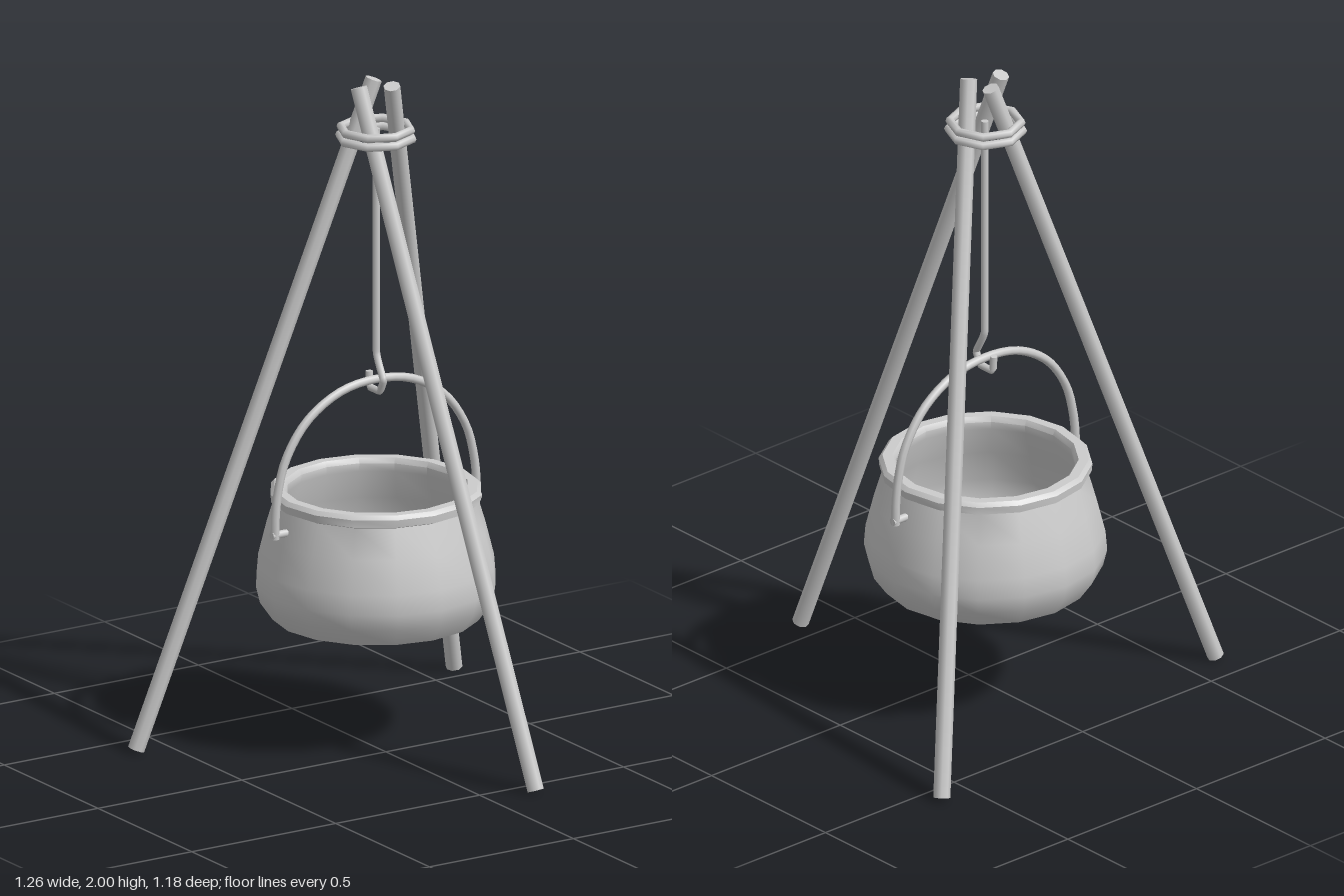
import * as THREE from 'three';
import { toCreasedNormals } from 'three/addons/utils/BufferGeometryUtils.js';

const CX = 0.05, CZ = -0.13; // axis of the hanging pot
const V = (x, y, z) => new THREE.Vector3(x, y, z);

export function createModel() {
  const group = new THREE.Group();
  const mat = new THREE.MeshStandardMaterial({ color: 0xcccccc });

  const add = (name, geometry, parent = group) => {
    const mesh = new THREE.Mesh(geometry, mat);
    mesh.name = name;
    parent.add(mesh);
    return mesh;
  };

  // Straight round bar between two points
  const bar = (name, a, b, radius, sides = 8, parent = group) => {
    const mesh = add(name, new THREE.CylinderGeometry(radius, radius, a.distanceTo(b), sides), parent);
    mesh.position.copy(a).add(b).multiplyScalar(0.5);
    mesh.quaternion.setFromUnitVectors(V(0, 1, 0), b.clone().sub(a).normalize());
    return mesh;
  };

  // Bent round rod with flat end caps
  const rod = (name, points, radius, segments, type, tension) => {
    const part = new THREE.Group();
    part.name = name;
    group.add(part);
    const curve = new THREE.CatmullRomCurve3(points, false, type, tension);
    add(name + 'Rod', new THREE.TubeGeometry(curve, segments, radius, 8), part);
    for (const [t, sign] of [[0, -1], [1, 1]]) {
      const cap = add(name + 'End', new THREE.CircleGeometry(radius, 8), part);
      cap.position.copy(curve.getPoint(t));
      cap.quaternion.setFromUnitVectors(V(0, 0, 1), curve.getTangent(t).multiplyScalar(sign));
    }
  };

  // Tripod poles, crossing at the top
  bar('leftPole', V(0.605, 0.007, -0.565), V(0.08, 1.993, -0.09), 0.025);
  bar('rightPole', V(-0.61, 0.007, -0.395), V(0.075, 1.993, -0.18), 0.025);
  bar('frontPole', V(0.148, 0.007, 0.572), V(-0.008, 1.993, -0.132), 0.025);

  // Two eight-sided lashing rings
  for (const [y, r] of [[1.833, 0.108], [1.859, 0.104]]) {
    const ring = add('lashingRing', new THREE.TorusGeometry(r, 0.013, 8, 8));
    ring.rotation.x = Math.PI / 2;
    ring.position.set(CX, y, CZ);
  }

  // Pot: outside wall, lip, inside wall and floor in one profile
  const profile = [
    [0, 0.376], [0.305, 0.376], [0.343, 0.43], [0.355, 0.48], [0.35, 0.54],
    [0.325, 0.64], [0.298, 0.73], [0.31, 0.735], [0.312, 0.758], [0.301, 0.77],
    [0.272, 0.77], [0.262, 0.755], [0.265, 0.73], [0.295, 0.64], [0.322, 0.54],
    [0.326, 0.48], [0.315, 0.44], [0.285, 0.405], [0, 0.405],
  ].map(([x, y]) => new THREE.Vector2(x, y));
  const pot = add('pot', toCreasedNormals(new THREE.LatheGeometry(profile, 16), 0.7));
  pot.position.set(CX, 0, CZ);

  // Bail handle and the pins that hold it
  const half = [[0.35, 0.665], [0.349, 0.73], [0.341, 0.8], [0.313, 0.9], [0.24, 1.005], [0.125, 1.075]];
  const arc = [
    ...half.map(([x, y]) => V(CX - x, y, CZ)),
    V(CX, 1.094, CZ),
    ...half.map(([x, y]) => V(CX + x, y, CZ)).reverse(),
  ];
  rod('handle', arc, 0.013, 40, 'centripetal');
  for (const s of [-1, 1]) {
    bar('handlePin', V(CX + s * 0.362, 0.677, CZ), V(CX + s * 0.29, 0.677, CZ), 0.012);
  }

  // Hanging rod bent into an open hook at its foot
  const hook = [[1.86, -0.127], [1.18, -0.127], [1.1, -0.089], [1.062, -0.108],
    [1.062, -0.162], [1.11, -0.166]].map(([y, z]) => V(CX, y, z));
  rod('hook', hook, 0.011, 90, 'catmullrom', 0.08);

  return group;
}
